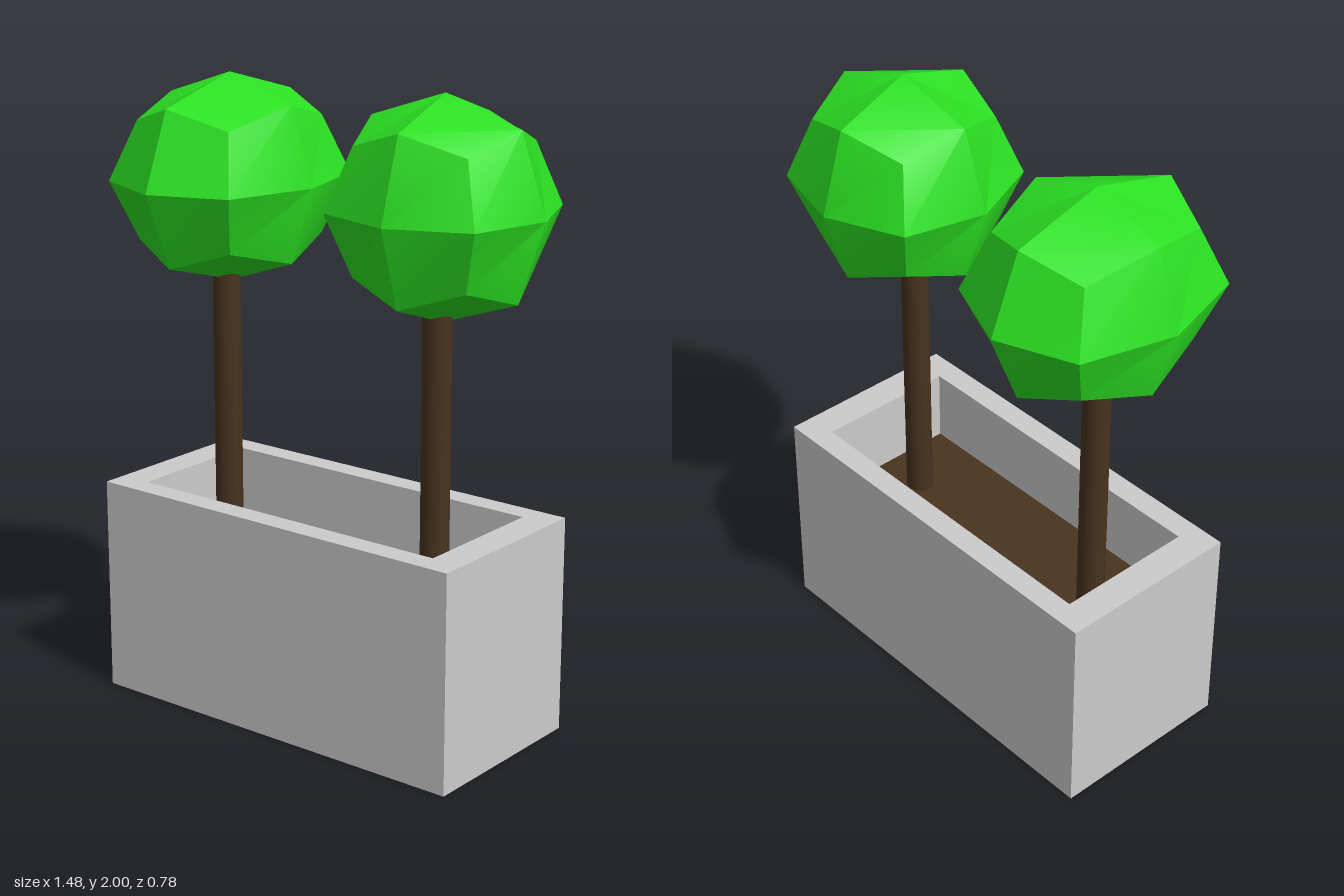
import * as THREE from 'three';
import { toCreasedNormals } from 'three/addons/utils/BufferGeometryUtils.js';

const stone = new THREE.MeshStandardMaterial({ color: 0xcccccc });
const bark = new THREE.MeshStandardMaterial({ color: 0x48331f });
const leaf = new THREE.MeshStandardMaterial({ color: 0x2be022 });

function addMesh(parent, name, geometry, material, x, y, z) {
  const mesh = new THREE.Mesh(geometry, material);
  mesh.name = name;
  mesh.position.set(x, y, z);
  parent.add(mesh);
  return mesh;
}

// Faceted ball: a 2x2x2 box whose face centres, edge centres and corners are pulled to a sphere
function crownGeometry(rx, ry, rz) {
  const geometry = new THREE.BoxGeometry(2, 2, 2, 2, 2, 2);
  const pos = geometry.attributes.position;
  const pull = [0, 1, 0.75, 0.57];
  const v = new THREE.Vector3();
  for (let i = 0; i < pos.count; i++) {
    v.fromBufferAttribute(pos, i).round();
    v.multiplyScalar(pull[Math.abs(v.x) + Math.abs(v.y) + Math.abs(v.z)]);
    pos.setXYZ(i, v.x * rx, v.y * ry, v.z * rz);
  }
  return toCreasedNormals(geometry, 0.65);
}

function rectangle(target, x0, x1, z0, z1) {
  target.moveTo(x0, -z1);
  target.lineTo(x1, -z1);
  target.lineTo(x1, -z0);
  target.lineTo(x0, -z0);
  target.closePath();
  return target;
}

export function createModel() {
  const model = new THREE.Group();
  const soilTop = 0.45, rimTop = 0.695;

  // Planter: solid base with a hollow upper wall
  const planter = new THREE.Group();
  planter.name = 'planter';
  model.add(planter);
  const outline = rectangle(new THREE.Shape(), -0.667, 0.67, -0.285, 0.33);
  const base = new THREE.ExtrudeGeometry(outline, { depth: 0.05, bevelEnabled: false });
  addMesh(planter, 'planterBase', base.rotateX(-Math.PI / 2), stone, 0, 0, 0);
  const walls = rectangle(new THREE.Shape(), -0.667, 0.67, -0.285, 0.33);
  walls.holes.push(rectangle(new THREE.Path(), -0.562, 0.565, -0.21, 0.253));
  const wall = new THREE.ExtrudeGeometry(walls, { depth: rimTop - 0.05, bevelEnabled: false });
  addMesh(planter, 'planterWalls', wall.rotateX(-Math.PI / 2), stone, 0, 0.05, 0);

  // Soil surface
  const soil = new THREE.PlaneGeometry(1.127, 0.463).rotateX(-Math.PI / 2);
  addMesh(model, 'soil', soil, bark, 0.0015, soilTop, 0.0215);

  // Two trees: oval trunk and faceted crown
  const trees = [
    { side: 'right', x: -0.413, radii: [0.326, 0.327, 0.388], turn: 0 },
    { side: 'left', x: 0.406, radii: [0.336, 0.338, 0.338], turn: 0.08 },
  ];
  for (const { side, x, radii, turn } of trees) {
    const tree = new THREE.Group();
    tree.name = side + 'Tree';
    model.add(tree);
    const trunk = new THREE.CylinderGeometry(1, 1, 1.0, 24).scale(0.047, 1, 0.04);
    addMesh(tree, 'trunk', trunk, bark, x, soilTop + 0.5, 0.026);
    const crown = addMesh(tree, 'crown', crownGeometry(...radii), leaf, x, 1.662, 0);
    crown.rotation.y = turn;
  }
  return model;
}
